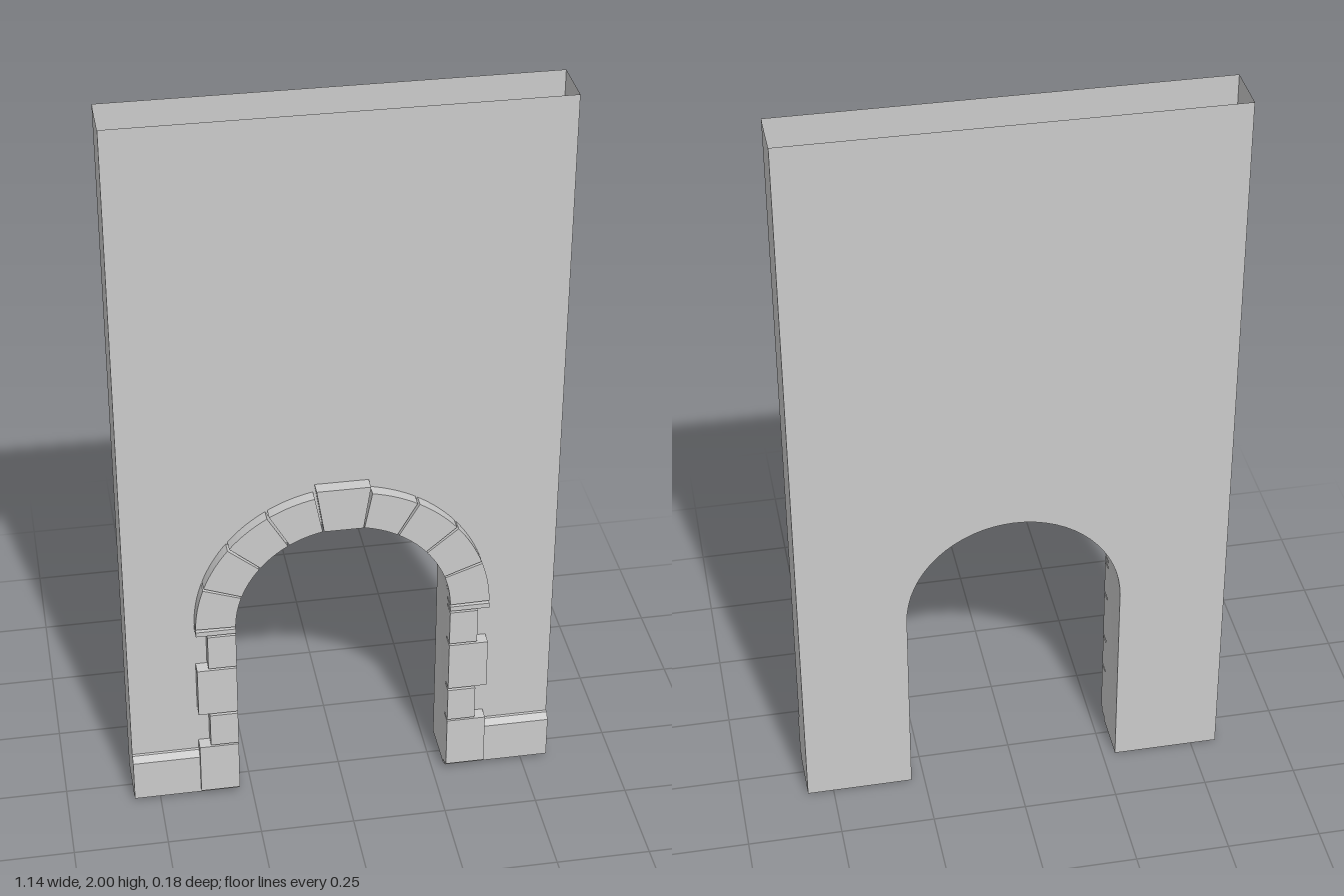
import * as THREE from 'three';

const W = 0.57, H = 2, R = 0.285, SPRING = 0.56; // wall half width, height, arch radius, springing
const BACK = -0.088, FACE = 0.052, STONE = 0.088; // depths of wall back, wall face, stone face

const material = new THREE.MeshStandardMaterial({ color: 0xcccccc, side: THREE.DoubleSide });

function add(parent, name, geometry, x = 0, y = 0, z = 0) {
  const mesh = new THREE.Mesh(geometry, material);
  mesh.name = name;
  mesh.position.set(x, y, z);
  parent.add(mesh);
  return mesh;
}

// Outline of the opening, from the +x foot over the arch to the -x foot
function openingPoints() {
  const pts = [new THREE.Vector2(R, 0)];
  for (let i = 0; i <= 32; i++) {
    const a = (Math.PI * i) / 32;
    pts.push(new THREE.Vector2(R * Math.cos(a), SPRING + R * Math.sin(a)));
  }
  pts.push(new THREE.Vector2(-R, 0));
  return pts;
}

// Smooth lining through the thickness of the wall
function liningGeometry(pts) {
  const pos = [], idx = [];
  pts.forEach((p, i) => {
    pos.push(p.x, p.y, BACK, p.x, p.y, FACE);
    const a = 2 * i;
    if (i < pts.length - 1) idx.push(a, a + 1, a + 2, a + 1, a + 3, a + 2);
  });
  const g = new THREE.BufferGeometry();
  g.setAttribute('position', new THREE.Float32BufferAttribute(pos, 3));
  g.setIndex(idx);
  g.computeVertexNormals();
  return g;
}

// Wedge stone between two angles (degrees)
function wedgeGeometry(a0, a1, inner, outer, depth) {
  const s = new THREE.Shape();
  const r0 = THREE.MathUtils.degToRad(a0), r1 = THREE.MathUtils.degToRad(a1);
  s.absarc(0, 0, outer, r0, r1, false);
  s.absarc(0, 0, inner, r1, r0, true);
  return new THREE.ExtrudeGeometry(s, { depth, bevelEnabled: false, curveSegments: 4 });
}

export function createModel() {
  const model = new THREE.Group();
  model.name = 'archedWall';

  // Hollow wall, open at top and bottom
  const wall = new THREE.Group();
  wall.name = 'wall';
  model.add(wall);
  const pts = openingPoints();
  const outline = new THREE.Shape([
    ...pts, new THREE.Vector2(-W, 0), new THREE.Vector2(-W, H),
    new THREE.Vector2(W, H), new THREE.Vector2(W, 0),
  ]);
  const panel = new THREE.ShapeGeometry(outline);
  add(wall, 'frontPanel', panel, 0, 0, FACE);
  add(wall, 'backPanel', panel, 0, 0, BACK).rotation.y = Math.PI;
  add(wall, 'archLining', liningGeometry(pts));
  for (const s of [1, -1]) {
    const end = new THREE.PlaneGeometry(FACE - BACK, H);
    add(wall, s > 0 ? 'leftEnd' : 'rightEnd', end, s * W, H / 2, (FACE + BACK) / 2)
      .rotation.y = (s * Math.PI) / 2;
  }

  // Jamb stones: [bottom, top, outer x]
  const jamb = [
    [0.025, 0.175, 0.39], [0.18, 0.28, 0.36], [0.287, 0.432, 0.39],
    [0.438, 0.54, 0.36], [0.546, 0.56, 0.39],
  ];
  const depth = STONE - FACE;
  // Plinth section, drawn as (-z, y), extruded along x
  const section = new THREE.Shape([
    [-FACE, 0.012], [-FACE, 0.147], [-0.06, 0.147], [-0.075, 0.132], [-0.075, 0.012],
  ].map(([x, y]) => new THREE.Vector2(x, y)));
  for (const s of [1, -1]) {
    const side = new THREE.Group();
    side.name = s > 0 ? 'leftJamb' : 'rightJamb';
    model.add(side);
    for (const [y0, y1, x1] of jamb) {
      add(side, 'jambStone', new THREE.BoxGeometry(x1 - R, y1 - y0, depth),
        (s * (R + x1)) / 2, (y0 + y1) / 2, (FACE + STONE) / 2);
    }
    const plinth = new THREE.ExtrudeGeometry(section, { depth: W - R, bevelEnabled: false });
    plinth.rotateY(Math.PI / 2);
    add(side, 'plinth', plinth, s > 0 ? R : -W);
  }

  // Arch stones, mirrored about the keystone
  const arch = new THREE.Group();
  arch.name = 'archStones';
  arch.position.set(0, SPRING, FACE);
  model.add(arch);
  const joints = [0.6, 20, 40, 60, 79.5];
  const gap = 0.5;
  for (let i = 0; i < 4; i++) {
    const a = joints[i] + gap, b = joints[i + 1] - gap;
    add(arch, 'archStone', wedgeGeometry(a, b, R, 0.39, depth - 0.002));
    add(arch, 'archStone', wedgeGeometry(180 - b, 180 - a, R, 0.39, depth - 0.002));
  }
  const key = new THREE.Shape([
    [-0.051, 0.281], [0.051, 0.281], [0.07, 0.405], [-0.07, 0.405],
  ].map(([x, y]) => new THREE.Vector2(x, y)));
  add(arch, 'keystone', new THREE.ExtrudeGeometry(key, { depth, bevelEnabled: false }));

  return model;
}
